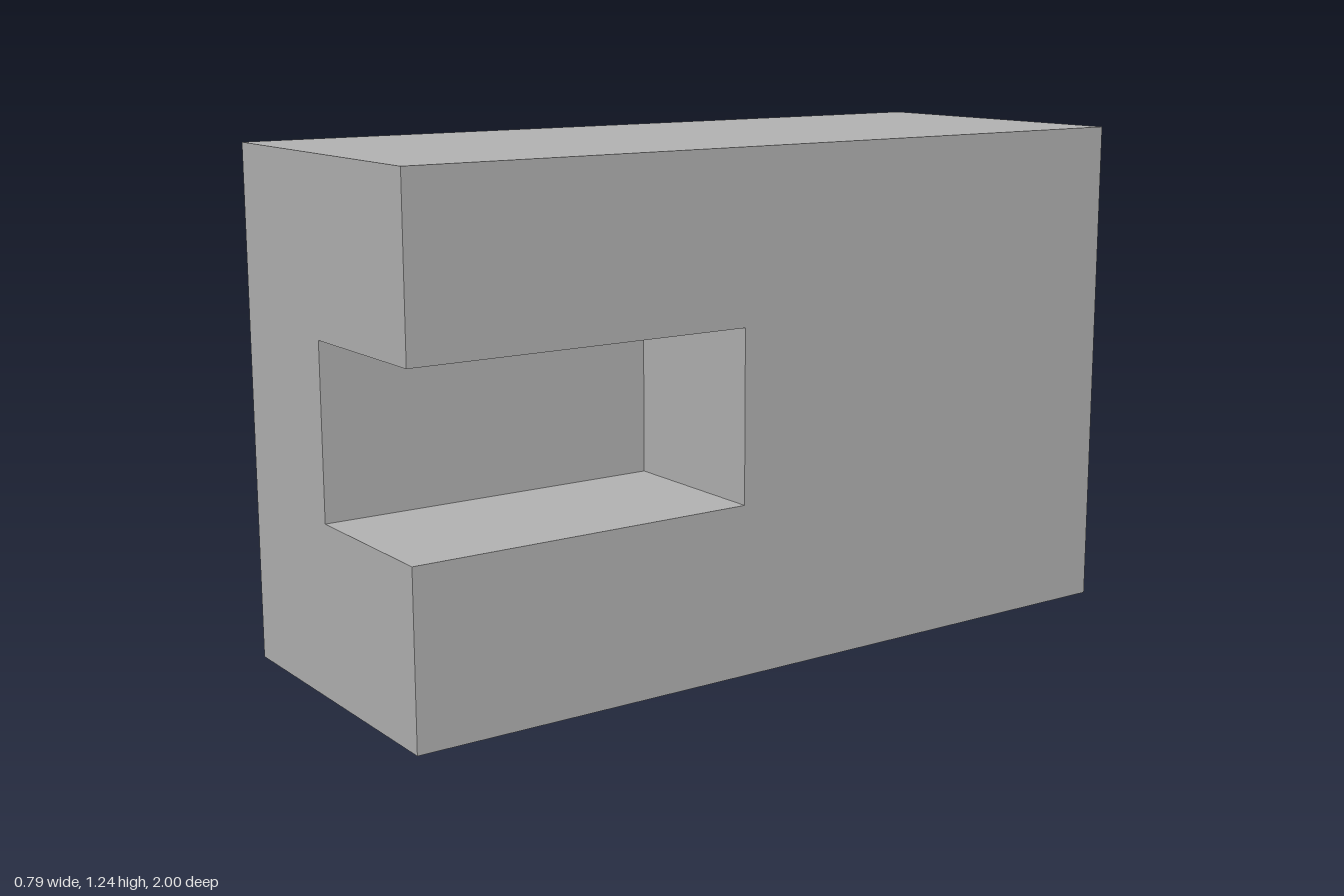
import * as THREE from 'three';

const W = 0.393, H = 1.24, D = 1;             // half width, height, half depth
const NX = -0.02, NZ = 0.14, Y0 = 0.414, Y1 = 0.83; // notch limits

export function createModel() {
  const group = new THREE.Group();
  const grey = new THREE.MeshStandardMaterial({ color: 0xb2b2b2, side: THREE.DoubleSide });

  // Flat sheet from 2D points, turned and moved into place
  const sheet = (name, points, rotation, position) => {
    const shape = new THREE.Shape(points.map(([x, y]) => new THREE.Vector2(x, y)));
    const mesh = new THREE.Mesh(new THREE.ShapeGeometry(shape), grey);
    mesh.name = name;
    mesh.rotation.set(...rotation);
    mesh.position.set(...position);
    group.add(mesh);
  };
  const rect = (x0, x1, y0, y1) => [[x0, y0], [x1, y0], [x1, y1], [x0, y1]];
  const Q = Math.PI / 2;

  // Front and side walls, cut away at the shared corner
  sheet('frontWall', [[-W, 0], [W, 0], [W, Y0], [NX, Y0], [NX, Y1], [W, Y1], [W, H], [-W, H]],
    [0, 0, 0], [0, 0, D]);
  sheet('notchedSideWall', [[-D, 0], [D, 0], [D, H], [-D, H], [-D, Y1], [-NZ, Y1], [-NZ, Y0], [-D, Y0]],
    [0, Q, 0], [W, 0, 0]);

  // Plain side, top and bottom; the back stays open
  sheet('plainSideWall', rect(-D, D, 0, H), [0, -Q, 0], [-W, 0, 0]);
  sheet('top', rect(-W, W, -D, D), [-Q, 0, 0], [0, H, 0]);
  sheet('bottom', rect(-W, W, -D, D), [Q, 0, 0], [0, 0, 0]);

  // Notch lining
  sheet('notchInnerWall', rect(-D, -NZ, Y0, Y1), [0, Q, 0], [NX, 0, 0]);
  sheet('notchEndWall', rect(NX, W, Y0, Y1), [0, 0, 0], [0, 0, NZ]);
  sheet('notchFloor', rect(NX, W, -D, -NZ), [-Q, 0, 0], [0, Y0, 0]);
  sheet('notchCeiling', rect(NX, W, NZ, D), [Q, 0, 0], [0, Y1, 0]);

  return group;
}
